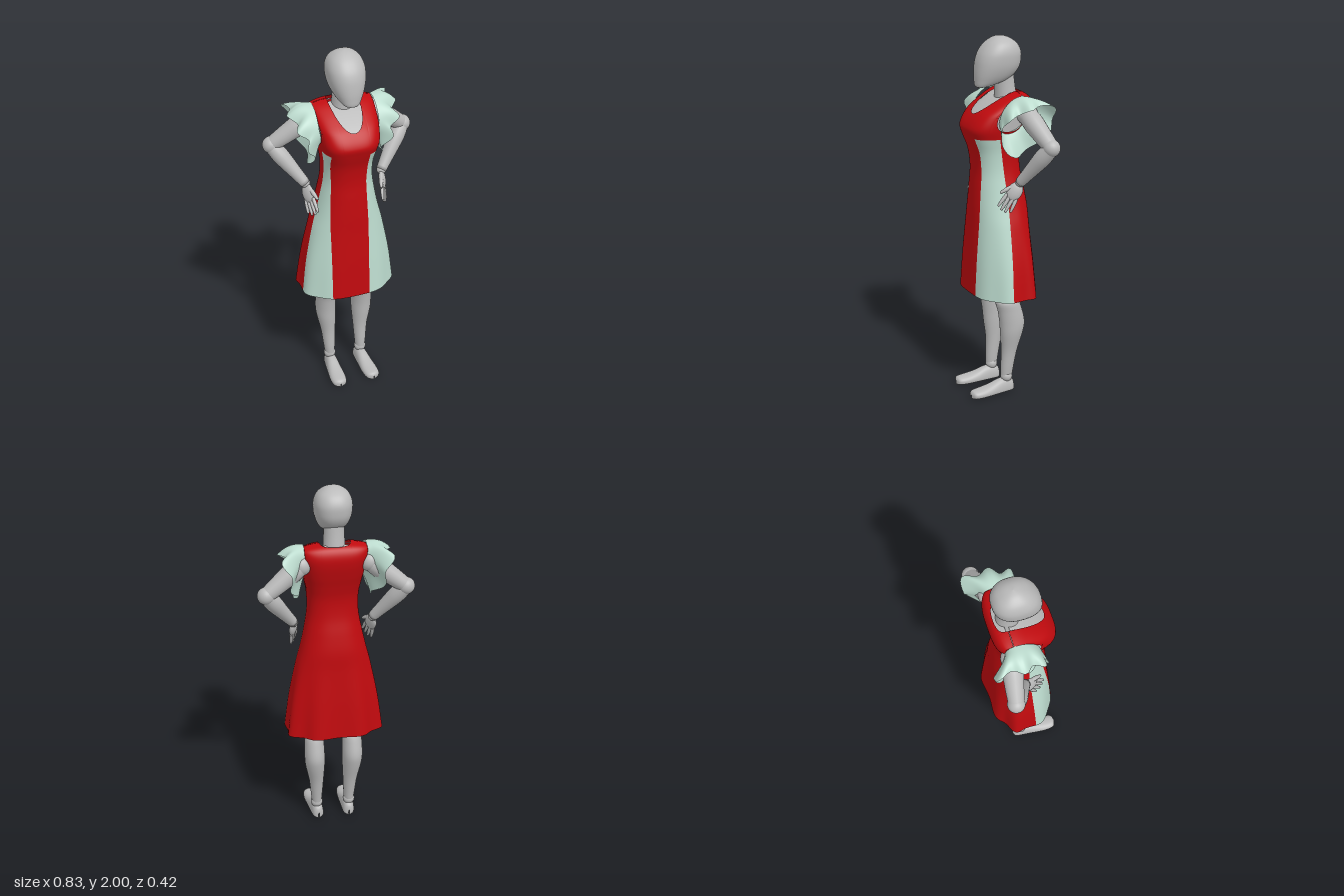
import * as THREE from 'three';
import { mergeVertices } from 'three/addons/utils/BufferGeometryUtils.js';

const { sin, cos, abs, sign, pow, sqrt, min, max, PI, asin } = Math;
const deg = PI / 180;
const V = (x, y, z) => new THREE.Vector3(x, y, z);

// Smoothly interpolates the rows of a table whose first column is the key.
function rowAt(table, key) {
  let i = 0;
  while (i < table.length - 2 && key > table[i + 1][0]) i++;
  const a = table[i], b = table[i + 1];
  const before = table[max(i - 1, 0)], after = table[min(i + 2, table.length - 1)];
  const h = b[0] - a[0], t = min(max((key - a[0]) / h, 0), 1);
  return a.slice(1).map((p, k) => {
    const q = b[k + 1];
    const m0 = (q - before[k + 1]) / (b[0] - before[0]) * h;
    const m1 = (after[k + 1] - p) / (after[0] - a[0]) * h;
    return p * (2 * t ** 3 - 3 * t * t + 1) + m0 * (t ** 3 - 2 * t * t + t) + q * (3 * t * t - 2 * t ** 3) + m1 * (t ** 3 - t * t);
  });
}

// Grid surface from a rule f(u, v) => [x, y, z], smooth across closed seams.
function surface(f, nu, nv) {
  const pos = [], index = [];
  for (let j = 0; j <= nv; j++) for (let i = 0; i <= nu; i++) pos.push(...f(i / nu, j / nv));
  for (let j = 0; j < nv; j++) for (let i = 0; i < nu; i++) {
    const a = j * (nu + 1) + i, d = a + nu + 1;
    index.push(a, a + 1, d + 1, a, d + 1, d);
  }
  let g = new THREE.BufferGeometry();
  g.setAttribute('position', new THREE.Float32BufferAttribute(pos, 3));
  g.setIndex(index);
  g = mergeVertices(g, 1e-5);
  g.computeVertexNormals();
  return g;
}

// Dress sections: height, half width, front z, back z, roundness power.
const DRESS = [
  [0.6, 0.268, 0.19, -0.168, 0.85], [0.8, 0.243, 0.18, -0.154, 0.85], [1.0, 0.203, 0.168, -0.137, 0.85],
  [1.1, 0.177, 0.164, -0.132, 0.85], [1.2, 0.155, 0.158, -0.116, 0.85], [1.3, 0.138, 0.152, -0.096, 0.82],
  [1.4, 0.137, 0.163, -0.092, 0.75], [1.48, 0.15, 0.19, -0.108, 0.67], [1.53, 0.159, 0.199, -0.122, 0.62],
  [1.6, 0.167, 0.155, -0.138, 0.6], [1.65, 0.173, 0.09, -0.14, 0.6], [1.69, 0.177, 0.022, -0.125, 0.6],
  [1.708, 0.177, -0.02, -0.1, 0.6], [1.717, 0.175, -0.056, -0.058, 0.6],
];
const HEM = 0.6, YOKE = 1.48, ARMHOLE = 1.52, SHOULDER = 1.717;

// Point on the dress; th = 0 is the front centre, growing towards +x.
function dressPoint(th, y, scale = 1) {
  const [a, f, b, p] = rowAt(DRESS, y);
  const c = 0.42 * f + 0.58 * b;
  const s = sin(th), k = cos(th);
  const drape = max(0, (1.05 - y) / 0.45);
  const fold = scale * (1 + 0.055 * drape * (0.6 - 0.4 * k) * cos(8 * (th - 160 * deg)));
  const x = a * sign(s) * pow(abs(s), p) * fold;
  const z = c + (k > 0 ? f - c : c - b) * sign(k) * pow(abs(k), p) * fold;
  const slope = 0.02 * pow(abs(x) / 0.17, 3) * max(0, (y - 1.6) / 0.117);
  return [x, y - slope, z];
}

// Upper edge of the bodice: neckline, shoulder, then armhole.
function bodiceTop(th, front) {
  const side = abs(abs(th) - PI / 2) / (28 * deg);
  if (side < 1) return SHOULDER - (SHOULDER - ARMHOLE) * sqrt(1 - side * side);
  const x = 0.17 * pow(abs(sin(th)), 0.6) / 0.078;
  const low = front ? 1.6 : 1.703;
  return x < 1 ? low + (SHOULDER - low) * (1 - sqrt(1 - x * x)) : SHOULDER;
}

// Head sections: height, half width, front z, back z.
const HEAD = [
  [1.733, 0.004, 0.122, 0.114], [1.738, 0.033, 0.133, 0.075], [1.75, 0.05, 0.138, 0.025], [1.77, 0.066, 0.139, -0.035],
  [1.8, 0.082, 0.139, -0.08], [1.84, 0.095, 0.135, -0.107], [1.88, 0.1, 0.127, -0.115], [1.92, 0.098, 0.11, -0.113],
  [1.96, 0.081, 0.078, -0.091], [1.985, 0.052, 0.044, -0.058], [1.996, 0.026, 0.018, -0.03], [2.0, 0.001, -0.004, -0.006],
];
// Leg sections: height, centre x, centre z, half width, half depth.
const SHIN = [
  [0.1, 0.094, 0, 0.028, 0.034], [0.14, 0.095, -0.003, 0.032, 0.037], [0.25, 0.098, -0.015, 0.041, 0.046],
  [0.36, 0.106, -0.025, 0.055, 0.066], [0.42, 0.108, -0.027, 0.057, 0.073], [0.5, 0.108, -0.012, 0.055, 0.07],
  [0.555, 0.106, 0.005, 0.053, 0.066], [0.575, 0.106, 0.007, 0.035, 0.045],
];
const THIGH = [
  [0.59, 0.106, 0.007, 0.04, 0.045], [0.61, 0.106, 0.007, 0.056, 0.062], [0.75, 0.102, 0.01, 0.07, 0.075],
  [0.9, 0.095, 0.01, 0.083, 0.09], [1.05, 0.088, 0.01, 0.08, 0.09],
];
// Foot sections: z, half width, height.
const FOOT = [
  [-0.046, 0.002, 0.035], [-0.041, 0.02, 0.058], [-0.025, 0.031, 0.072], [0.01, 0.035, 0.082], [0.05, 0.038, 0.077],
  [0.1, 0.042, 0.06], [0.15, 0.045, 0.049], [0.19, 0.042, 0.044], [0.215, 0.03, 0.038], [0.224, 0.002, 0.022],
];

export function createModel() {
  const model = new THREE.Group();
  const material = (name, color) => new THREE.MeshStandardMaterial({ name, color });
  const red = material('red cloth', 0xc00a0e);
  const mint = material('mint cloth', 0xbddccf);
  const skin = material('grey body', 0xbababa);
  red.side = mint.side = THREE.DoubleSide;

  const add = (parent, name, geometry, mat) => {
    const mesh = new THREE.Mesh(geometry, mat);
    mesh.name = name;
    parent.add(mesh);
    return mesh;
  };
  const ball = (parent, name, at, r) => add(parent, name, new THREE.SphereGeometry(r, 24, 16), skin).position.copy(at);
  // Round limb from a to b with radii spread evenly along it.
  const limb = (parent, name, a, b, radii) => {
    const length = a.distanceTo(b);
    const curve = new THREE.SplineCurve(radii.map((r, i) => new THREE.Vector2(r, length * i / (radii.length - 1))));
    const profile = [new THREE.Vector2(0, 0), ...curve.getPoints(12), new THREE.Vector2(0, length)];
    const mesh = add(parent, name, new THREE.LatheGeometry(profile, 20), skin);
    mesh.position.copy(a);
    mesh.quaternion.setFromUnitVectors(V(0, 1, 0), b.clone().sub(a).normalize());
  };
  const column = (table) => surface((u, v) => {
    const y = table[0][0] + (table.at(-1)[0] - table[0][0]) * v;
    const [cx, cz, rx, rz] = rowAt(table, y), t = u * 2 * PI;
    return [cx + rx * sin(t), y, cz + rz * cos(t)];
  }, 28, 28);

  // Skirt and bodice panels, each between two seam angles that vary with height
  const panel = (name, from, to, mat, n) => add(model, name, surface((u, v) => {
    const y = HEM + (YOKE - HEM) * v;
    return dressPoint(from(y) + (to(y) - from(y)) * u, y);
  }, n, 40), mat);
  const edge = (x) => (y) => {
    const [a, , , p] = rowAt(DRESS, y);
    const pinch = 1 - 0.12 * max(0, 1 - abs(y - 1.3) / 0.25);
    return sign(x) * asin(pow(min(abs(x) * pinch / a, 0.95), 1 / p));
  };
  const right = edge(-0.128), left = edge(0.08);
  const seam = (y) => (81 - 4 * min(max((1.15 - y) / 0.5, 0), 1)) * deg;
  panel('frontPanel', right, left, red, 24);
  panel('leftSidePanel', left, seam, mint, 20);
  panel('rightSidePanel', (y) => -seam(y), right, mint, 20);
  panel('backPanel', seam, (y) => 2 * PI - seam(y), red, 80);

  // Yoke with neckline and armholes
  for (const front of [true, false]) {
    add(model, front ? 'frontYoke' : 'backYoke', surface((u, v) => {
      const w = 2 * u - 1;
      const t = sign(w) * PI / 2 * pow(abs(w), 1.5);
      const top = bodiceTop(t, front);
      return dressPoint(front ? t : PI + t, YOKE + (top - YOKE) * (1 - pow(1 - v, 1.5)));
    }, 100, 26), red);
  }

  // Body under the dress
  add(model, 'torso', surface((u, v) => {
    const y = 0.95 + 0.75 * v;
    const [x, top, z] = dressPoint(u * 2 * PI, y + 0.015, 0.94);
    return [x, top - 0.015, z];
  }, 56, 40), skin);
  const hips = add(model, 'hips', new THREE.SphereGeometry(1, 28, 18), skin);
  hips.scale.set(0.165, 0.13, 0.12);
  hips.position.set(0, 0.99, 0.01);
  limb(model, 'neck', V(0, 1.6, -0.045), V(0, 1.82, -0.025), [0.066, 0.06, 0.055, 0.054]);

  // Head, a full egg with a slanting jaw
  add(model, 'head', surface((u, v) => {
    const y = 1.733 + 0.267 * (0.5 - 0.5 * cos(PI * v));
    const [w, f, b] = rowAt(HEAD, y), t = u * 2 * PI, s = sin(t), k = cos(t);
    return [w * sign(s) * pow(abs(s), 0.85), y, (f + b) / 2 + (f - b) / 2 * sign(k) * pow(abs(k), 0.85)];
  }, 48, 36), skin);

  for (const s of [1, -1]) {
    const half = new THREE.Group();
    half.name = s > 0 ? 'leftLimbs' : 'rightLimbs';
    half.scale.x = s;
    model.add(half);

    // Leg
    add(half, 'thigh', column(THIGH), skin);
    ball(half, 'knee', V(0.106, 0.585, 0.005), 0.05);
    add(half, 'shin', column(SHIN), skin);
    ball(half, 'ankle', V(0.094, 0.09, 0), 0.034);
    const foot = add(half, 'foot', surface((u, v) => {
      const z = -0.046 + 0.27 * (0.5 - 0.5 * cos(PI * v));
      const [w, h] = rowAt(FOOT, z), t = u * 2 * PI;
      const up = sin(t);
      return [w * sign(cos(t)) * pow(abs(cos(t)), 0.8), up > 0 ? 0.02 + (h - 0.02) * up : 0.02 - 0.02 * pow(-up, 0.5), z];
    }, 28, 28), skin);
    foot.position.x = 0.091;
    foot.rotation.y = 0.05;

    // Arm with the hand on the hip
    const shoulder = V(0.18, 1.605, -0.075), elbow = V(0.37, 1.465, -0.115), wrist = V(0.216, 1.255, -0.015);
    ball(half, 'shoulder', shoulder, 0.056);
    limb(half, 'upperArm', shoulder, elbow, [0.05, 0.055, 0.051, 0.046, 0.04]);
    ball(half, 'elbow', elbow, 0.046);
    limb(half, 'forearm', elbow, wrist, [0.04, 0.046, 0.041, 0.034, 0.028]);
    ball(half, 'wrist', wrist, 0.026);

    // Hand wrapping the hip, thumb forwards
    const hand = new THREE.Group();
    hand.name = 'hand';
    const along = V(-0.08, -0.84, 0.53).normalize();
    const across = V(-0.5, 0.35, 0.75);
    across.addScaledVector(along, -across.dot(along)).normalize();
    hand.quaternion.setFromRotationMatrix(new THREE.Matrix4().makeBasis(across, along, across.clone().cross(along)));
    hand.position.copy(wrist);
    half.add(hand);
    const palm = add(hand, 'palm', new THREE.SphereGeometry(1, 20, 14), skin);
    palm.scale.set(0.04, 0.054, 0.018);
    palm.position.set(0, 0.054, 0);
    [0.066, 0.082, 0.082, 0.072].forEach((length, i) => {
      const x = -0.028 + i * 0.0185;
      limb(hand, 'finger', V(x, 0.084, 0), V(x * 1.3, 0.094 + length, 0), [0.009, 0.01, 0.009, 0.006]);
    });
    limb(hand, 'thumb', V(0.026, 0.04, 0), V(0.062, 0.1, 0.004), [0.01, 0.012, 0.01, 0.006]);

    // Ruffle draped from the armhole, widest over the shoulder and long under the arm
    add(half, 'sleeveRuffle', surface((u, v) => {
      const t = u * 2 * PI, up = cos(t), fwd = sin(t);
      const high = 0.5 + 0.5 * up, low = max(-up, 0), rear = max(-fwd, 0);
      const wave = sin(6 * t + 1.2) * 0.018 * v;
      const reach = 0.02 + 0.08 * rear + 0.095 * low * low;
      const out = 0.045 + 0.075 * high + 0.01 * rear;
      const r = v * reach + wave * 0.4;
      return [
        0.163 - 0.014 * low + out * pow(v, 0.8) + wave * 0.9,
        1.61 + up * (0.093 + r) - 0.075 * v * v * high,
        -0.012 - 0.035 * up + fwd * (0.083 + v * (reach - 0.08 * low * low) + wave * 0.4),
      ];
    }, 120, 12), mint);
  }
  return model;
}
